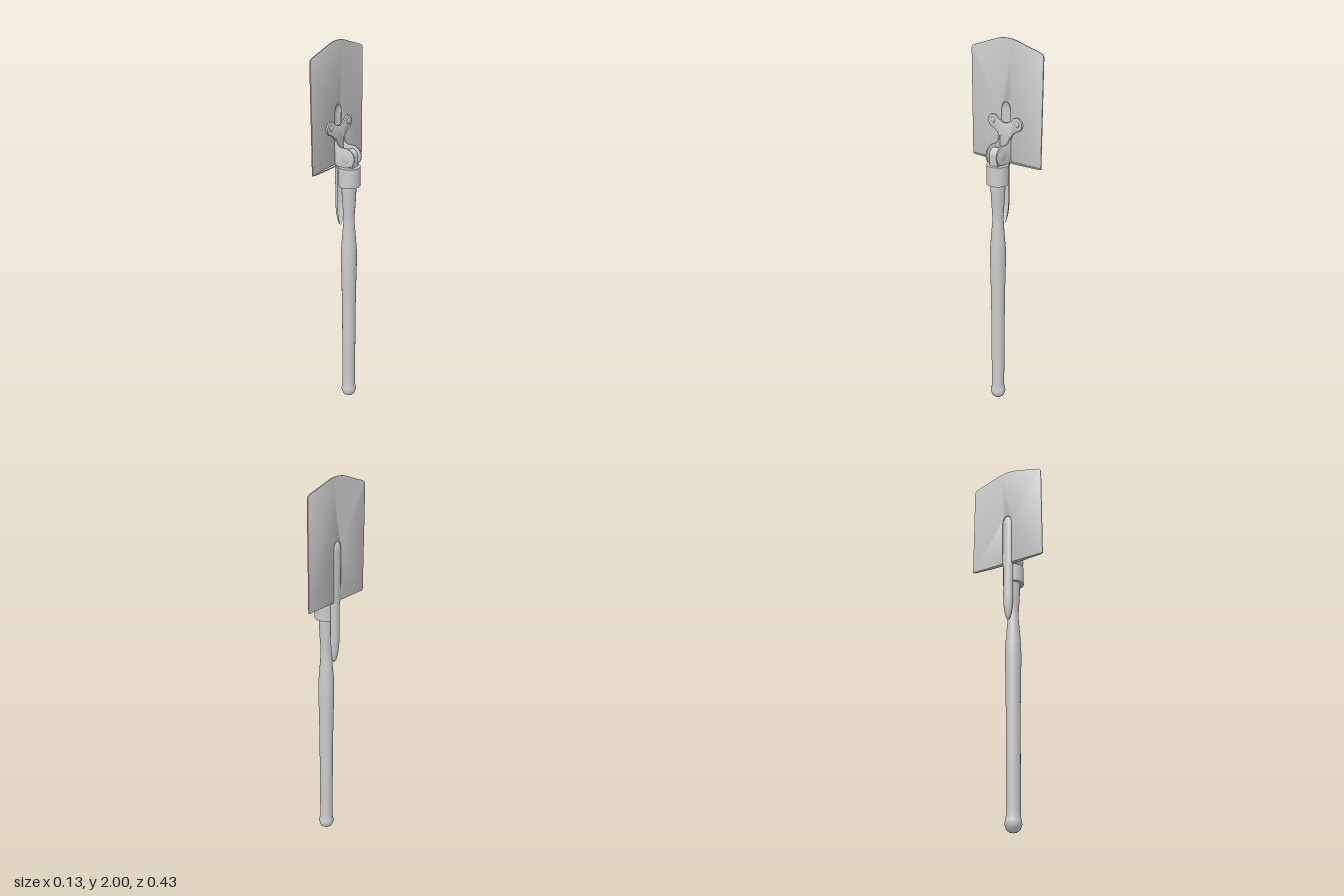
import * as THREE from 'three';
import { toCreasedNormals } from 'three/addons/utils/BufferGeometryUtils.js';
import { ParametricGeometry } from 'three/addons/geometries/ParametricGeometry.js';

const material = new THREE.MeshStandardMaterial({ color: 0xcccccc });
const shellMaterial = new THREE.MeshStandardMaterial({ color: 0xcccccc, side: THREE.DoubleSide });
const AXIS_X = 0.01; // handle and hinge axis
const HINGE_Y = 1.45;

export function createModel() {
  const group = new THREE.Group();

  function add(name, geometry, x = 0, y = 0, z = 0, mat = material) {
    const mesh = new THREE.Mesh(geometry, mat);
    mesh.name = name;
    mesh.position.set(x, y, z);
    group.add(mesh);
    return mesh;
  }

  function plate(shape, depth, bevel) {
    const geometry = new THREE.ExtrudeGeometry(shape, {
      depth: depth - 2 * bevel, curveSegments: 12, bevelEnabled: bevel > 0,
      bevelSize: bevel, bevelThickness: bevel, bevelOffset: -bevel, bevelSegments: 2,
    });
    geometry.translate(0, 0, -(depth - 2 * bevel) / 2);
    return toCreasedNormals(geometry, 0.6);
  }

  // Turned handle with a rounded knob and a waist below the collar
  const profile = [
    [0, 0], [0.018, 0.003], [0.034, 0.016], [0.042, 0.04], [0.039, 0.058], [0.035, 0.075],
    [0.035, 0.1], [0.036, 0.35], [0.037, 0.6], [0.039, 0.74], [0.042, 0.87], [0.041, 0.94],
    [0.035, 1.02], [0.029, 1.09], [0.029, 1.13], [0.034, 1.21], [0.037, 1.27], [0.038, 1.32],
  ].map(([r, y]) => new THREE.Vector2(r, y));
  add('handle', new THREE.LatheGeometry(profile, 32), AXIS_X - 0.002);

  // Locking collar
  add('collar', new THREE.CylinderGeometry(0.056, 0.056, 0.1, 40), AXIS_X, 1.35);

  // Hinge lug with a round top, between the cheeks
  add('hingeLug', new THREE.BoxGeometry(0.068, 0.06, 0.05), AXIS_X, 1.42);
  const barrel = add('hingeBarrel', new THREE.CylinderGeometry(0.034, 0.034, 0.05, 32), AXIS_X, HINGE_Y);
  barrel.rotation.x = Math.PI / 2;
  const pin = add('hingePin', new THREE.CylinderGeometry(0.018, 0.018, 0.07, 24), AXIS_X, HINGE_Y);
  pin.rotation.x = Math.PI / 2;

  // Cheeks and pin heads on both sides
  const cheek = new THREE.Shape();
  cheek.moveTo(-0.05, 1.4);
  cheek.lineTo(AXIS_X, 1.4);
  cheek.absarc(AXIS_X, HINGE_Y, 0.05, -Math.PI / 2, Math.PI / 2, false);
  cheek.lineTo(-0.02, 1.5);
  cheek.quadraticCurveTo(-0.042, 1.505, -0.044, 1.56);
  cheek.lineTo(-0.05, 1.56);
  cheek.closePath();
  for (const side of [1, -1]) {
    add('hingeCheek', plate(cheek, 0.007, 0.001), 0, 0, side * 0.0315);
    const head = add('pinHead', new THREE.SphereGeometry(0.026, 24, 12), AXIS_X, HINGE_Y, side * 0.034);
    head.scale.z = 0.16;
  }

  // Blade with a shallow peaked top and a slot for the pressed spine
  const blade = new THREE.Shape();
  blade.moveTo(-0.215, 1.4);
  blade.lineTo(-0.027, 1.4);
  blade.lineTo(-0.027, 1.66);
  blade.quadraticCurveTo(-0.024, 1.7, 0, 1.7);
  blade.quadraticCurveTo(0.024, 1.7, 0.027, 1.66);
  blade.lineTo(0.027, 1.4);
  blade.lineTo(0.215, 1.4);
  blade.lineTo(0.215, 1.93);
  blade.quadraticCurveTo(0.215, 1.945, 0.195, 1.951);
  blade.lineTo(0.06, 1.992);
  blade.quadraticCurveTo(0, 2.008, -0.06, 1.992);
  blade.lineTo(-0.195, 1.951);
  blade.quadraticCurveTo(-0.215, 1.945, -0.215, 1.93);
  blade.closePath();
  add('blade', plate(blade, 0.007, 0.002), -0.0575).rotation.y = Math.PI / 2;

  // Turned lip along the bottom edge, tapering to its ends
  const lip = new THREE.Shape();
  [[-0.06, -0.212], [-0.049, -0.205], [-0.041, -0.09], [-0.041, -0.027], [-0.06, -0.027]]
    .forEach(([x, z], i) => (i ? lip.lineTo(x, z) : lip.moveTo(x, z)));
  lip.closePath();
  for (const side of [1, -1]) {
    const mesh = add('bladeLip', plate(lip, 0.006, 0), 0, 1.403);
    mesh.rotation.x = side * Math.PI / 2;
  }

  // Half-round spine channel, running down past the blade to a pointed end
  const spine = new ParametricGeometry((u, v, target) => {
    const y = 1.07 + 0.63 * (1 - Math.cos(Math.PI * v)) / 2;
    const low = Math.min(1, (y - 1.07) / 0.14);
    const high = Math.min(1, (1.7 - y) / 0.05);
    const round = Math.sqrt(Math.max(0, 1 - (1 - low) ** 2)) * Math.sqrt(Math.max(0, 1 - (1 - high) ** 2));
    const rim = y < 1.4 ? -0.042 : -0.055;
    const back = -0.069;
    const a = Math.PI * u;
    target.set(rim + (back - rim) * round * Math.sin(a), y, -0.028 * round * Math.cos(a));
  }, 16, 60);
  add('spine', spine, 0, 0, 0, shellMaterial);

  // Y-shaped mounting bracket riveted to the blade
  const bracket = new THREE.Shape();
  bracket.moveTo(-0.034, 1.4);
  bracket.lineTo(0.034, 1.4);
  bracket.lineTo(0.034, 1.51);
  bracket.quadraticCurveTo(0.036, 1.55, 0.085, 1.568);
  bracket.absarc(0.072, 1.598, 0.033, -1.16, 2.1, false);
  bracket.quadraticCurveTo(0.03, 1.598, 0, 1.598);
  bracket.quadraticCurveTo(-0.03, 1.598, -0.072 + 0.0167, 1.6265);
  bracket.absarc(-0.072, 1.598, 0.033, Math.PI - 2.1, Math.PI + 1.16, false);
  bracket.quadraticCurveTo(-0.036, 1.55, -0.034, 1.51);
  bracket.closePath();
  add('bracket', plate(bracket, 0.01, 0.002), -0.049).rotation.y = Math.PI / 2;
  for (const side of [1, -1]) {
    const rivet = add('rivet', new THREE.SphereGeometry(0.014, 20, 12), -0.044, 1.6, side * 0.074);
    rivet.scale.x = 0.45;
  }

  return group;
}
